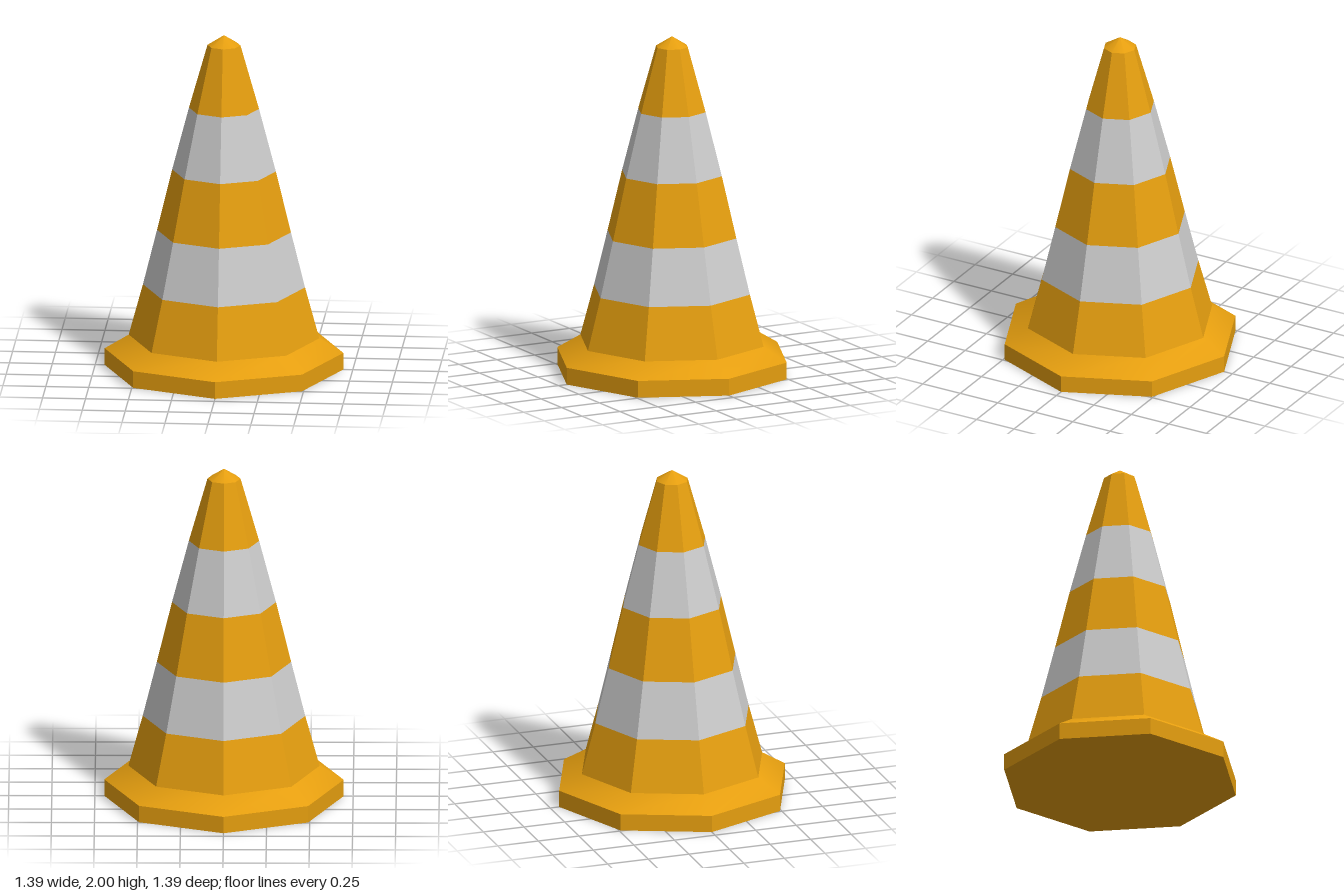
import * as THREE from 'three';
import { toCreasedNormals } from 'three/addons/utils/BufferGeometryUtils.js';

const SIDES = 8;
const orange = new THREE.MeshStandardMaterial({ color: 0xe59e0f });
const grey = new THREE.MeshStandardMaterial({ color: 0xcccccc });

// Octagonal ring between two heights, corners on the x and z axes
function ring(name, [r0, y0], [r1, y1], material) {
  const geometry = new THREE.CylinderGeometry(r1, r0, y1 - y0, SIDES, 1, true);
  geometry.translate(0, (y0 + y1) / 2, 0);
  // Walls stay faceted, the shallow brim and tip blend smoothly
  const mesh = new THREE.Mesh(toCreasedNormals(geometry, Math.PI / 6), material);
  mesh.name = name;
  return mesh;
}

export function createModel() {
  const cone = new THREE.Group();
  cone.name = 'trafficCone';

  // Outline from the floor to the tip as [radius, height]
  const profile = [
    [0.695, 0], [0.695, 0.1], [0.555, 0.185], [0.472, 0.49], [0.39, 0.82],
    [0.302, 1.185], [0.204, 1.56], [0.096, 1.94], [0, 2],
  ];
  const parts = [
    ['baseRim', orange], ['baseBrim', orange], ['lowerBody', orange],
    ['lowerStripe', grey], ['middleBody', orange], ['upperStripe', grey],
    ['upperBody', orange], ['tip', orange],
  ];
  parts.forEach(([name, material], i) => {
    cone.add(ring(name, profile[i], profile[i + 1], material));
  });

  // Flat underside
  const underside = new THREE.Mesh(new THREE.CircleGeometry(0.695, SIDES), orange);
  underside.rotation.x = Math.PI / 2;
  underside.name = 'underside';
  cone.add(underside);

  return cone;
}
